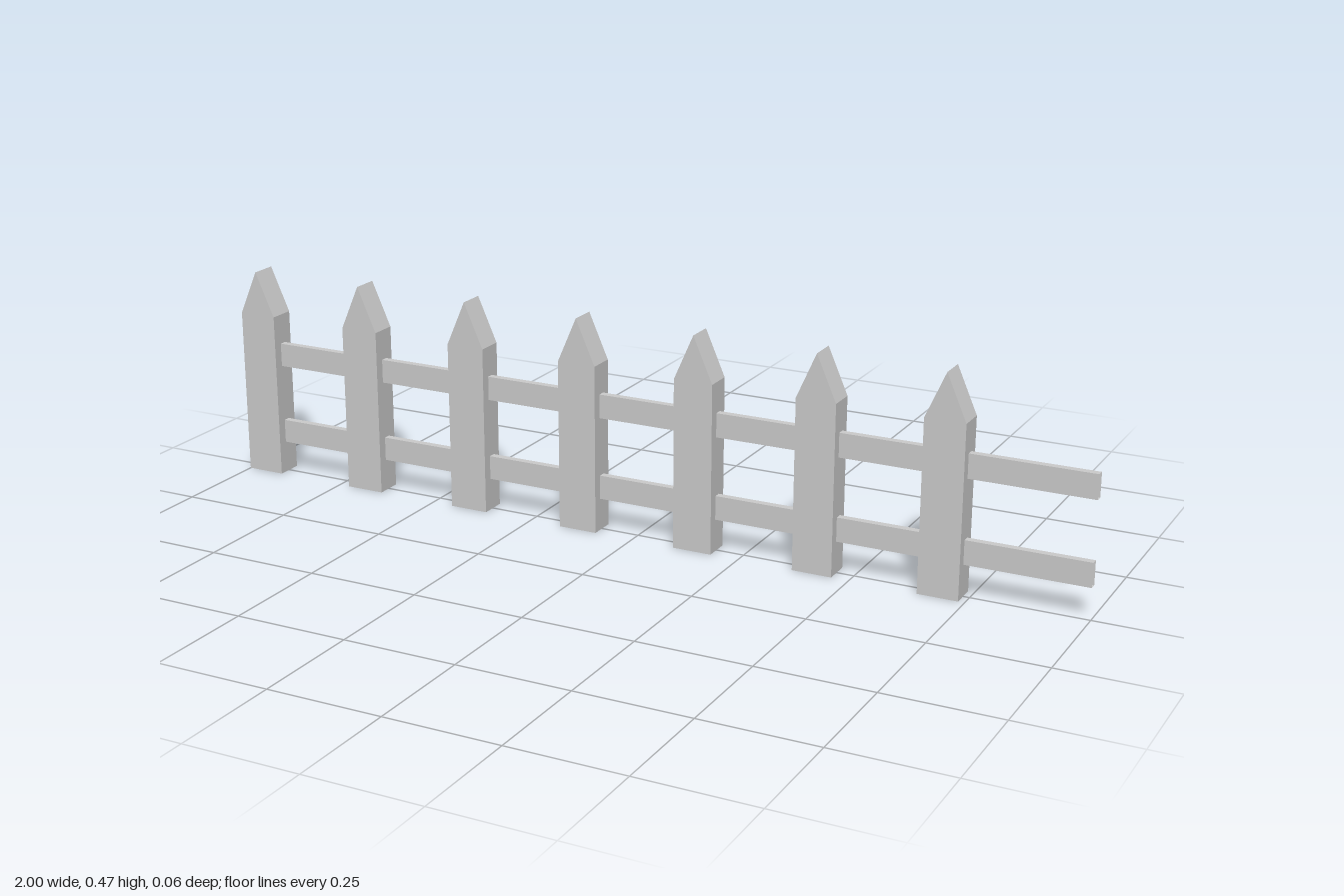
import * as THREE from 'three';

export function createModel() {
  const fence = new THREE.Group();
  fence.name = 'picketFence';
  const paint = new THREE.MeshStandardMaterial({ color: 0xcccccc, side: THREE.DoubleSide });
  paint.name = 'greyPaint';

  // Pointed picket profile, extruded through the fence depth
  const width = 0.088, shoulder = 0.375, height = 0.475, depth = 0.06;
  const profile = new THREE.Shape([
    new THREE.Vector2(-width / 2, 0),
    new THREE.Vector2(width / 2, 0),
    new THREE.Vector2(width / 2, shoulder),
    new THREE.Vector2(0, height),
    new THREE.Vector2(-width / 2, shoulder),
  ]);
  const picketGeometry = new THREE.ExtrudeGeometry(profile, { depth, bevelEnabled: false });
  picketGeometry.translate(0, 0, -depth / 2);

  // Seven evenly spaced pickets
  for (let i = 0; i < 7; i++) {
    const picket = new THREE.Mesh(picketGeometry, paint);
    picket.name = `picket${i + 1}`;
    picket.position.x = -0.956 + i * 0.2747;
    fence.add(picket);
  }

  // Two thin hollow rails with open ends, running past the last picket
  const start = -0.956, end = 1;
  const railGeometry = new THREE.BoxGeometry(end - start, 0.053, 0.016);
  railGeometry.setIndex(Array.from(railGeometry.index.array).slice(12)); // drop both end caps
  railGeometry.clearGroups();
  for (const [name, y] of [['lowerRail', 0.098], ['upperRail', 0.281]]) {
    const rail = new THREE.Mesh(railGeometry, paint);
    rail.name = name;
    rail.position.set((start + end) / 2, y, 0);
    fence.add(rail);
  }
  return fence;
}
